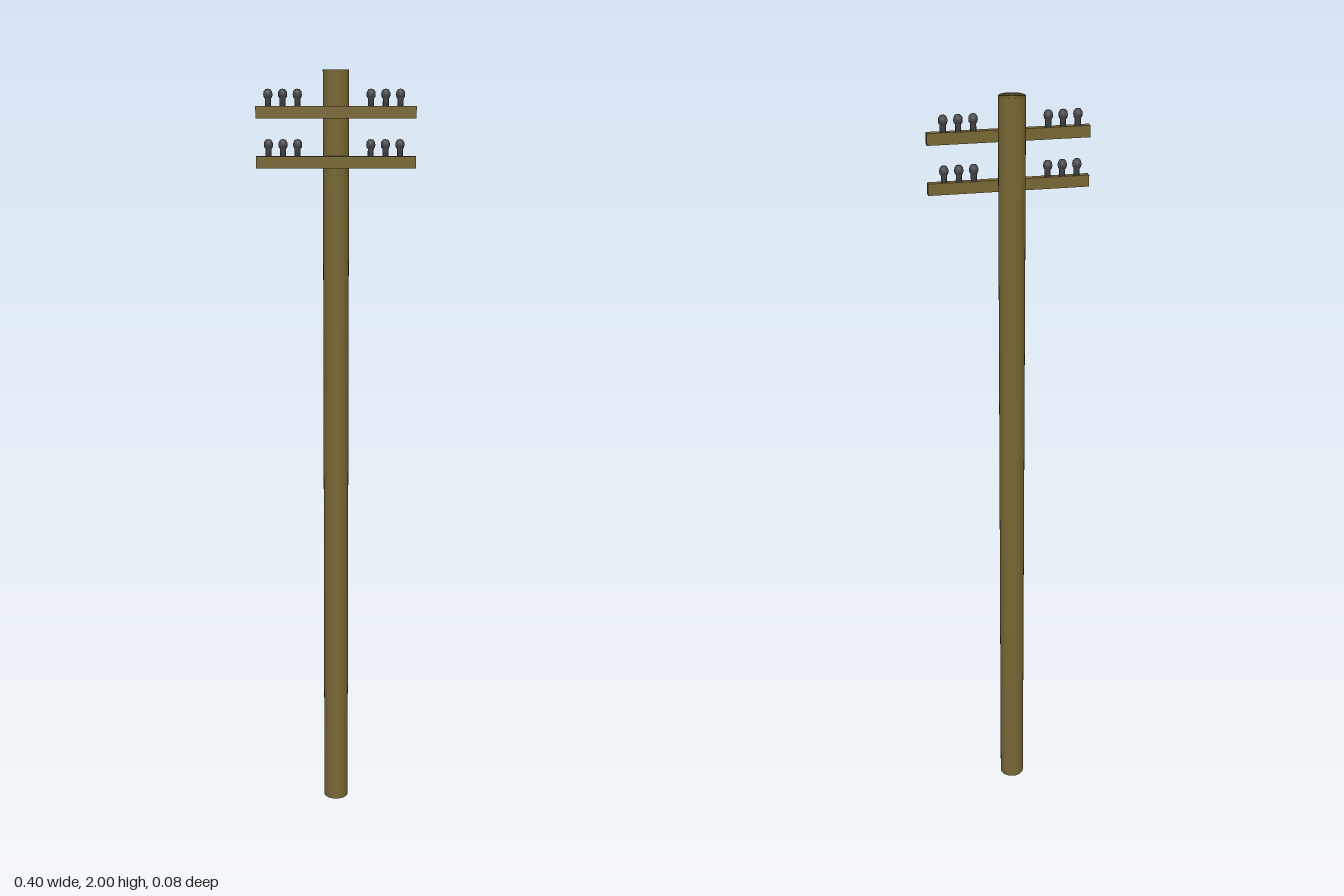
import * as THREE from 'three';

export function createModel() {
  const group = new THREE.Group();
  const wood = new THREE.MeshStandardMaterial({ name: 'brown wood', color: 0x786733 });
  const ceramic = new THREE.MeshStandardMaterial({ name: 'dark ceramic', color: 0x48484c });

  const add = (parent, name, geometry, material, x, y, z) => {
    const mesh = new THREE.Mesh(geometry, material);
    mesh.name = name;
    mesh.position.set(x, y, z);
    parent.add(mesh);
  };
  const profile = (points) => points.map(([r, y]) => new THREE.Vector2(r, y));

  // Pole: closed cylinder whose end caps share the smooth radial shading of its side
  const R = 0.033, sides = 32;
  const outline = profile([[0, 0], [R, 0], [R, 2], [0, 2]]);
  const poleGeometry = new THREE.LatheGeometry(outline, sides);
  const normals = poleGeometry.attributes.normal;
  for (let i = 0; i < normals.count; i++) {
    const angle = (Math.floor(i / outline.length) / sides) * Math.PI * 2;
    normals.setXYZ(i, Math.sin(angle), 0, Math.cos(angle));
  }
  add(group, 'pole', poleGeometry, wood, 0, 0, -0.0075);

  // Crossarms, each carrying two sets of three insulators
  const armGeometry = new THREE.BoxGeometry(0.4, 0.029, 0.017);
  const insulatorGeometry = new THREE.LatheGeometry(profile([
    [0, 0], [0.0075, 0], [0.0075, 0.018], [0.0105, 0.022], [0.0115, 0.028],
    [0.0105, 0.035], [0.0065, 0.0405], [0, 0.042],
  ]), 16);
  for (const [level, y] of [['upper', 1.898], ['lower', 1.776]]) {
    const arm = new THREE.Group();
    arm.name = `${level}Crossarm`;
    arm.position.y = y;
    add(arm, 'beam', armGeometry, wood, 0, 0, 0.0315);
    for (const start of [-0.169, 0.087]) {
      for (let i = 0; i < 3; i++) {
        add(arm, 'insulator', insulatorGeometry, ceramic, start + i * 0.0365, 0.0145, 0.0275);
      }
    }
    group.add(arm);
  }
  return group;
}
